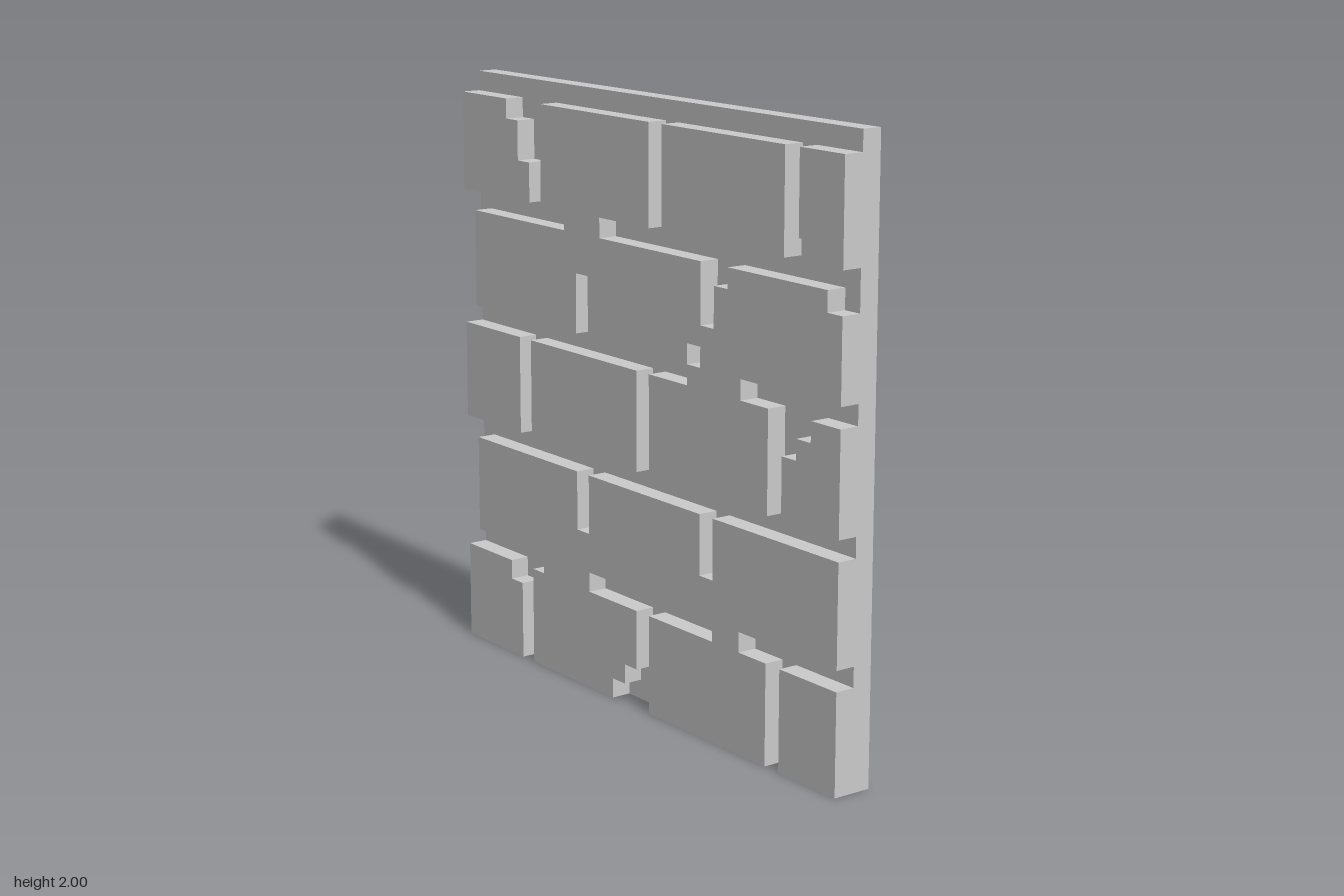
import * as THREE from 'three';

// The wall is laid out on a 30 x 30 grid of square cells
const U = 2 / 30;
const material = new THREE.MeshStandardMaterial({ color: 0xcccccc, flatShading: true });

// Extrudes an outline given in cells, one cell deep in front of the slab
function raised(name, points) {
  const shape = new THREE.Shape(points.map(([c, r]) => new THREE.Vector2(c * U - 1, r * U)));
  const geometry = new THREE.ExtrudeGeometry(shape, { depth: U, bevelEnabled: false });
  const mesh = new THREE.Mesh(geometry, material);
  mesh.name = name;
  return mesh;
}

const rect = (c0, r0, c1, r1) => [[c0, r0], [c1, r0], [c1, r1], [c0, r1]];

export function createModel() {
  const wall = new THREE.Group();
  wall.name = 'brickWall';

  // Backing slab
  const slab = new THREE.Mesh(new THREE.BoxGeometry(2, 2, U), material);
  slab.name = 'backingSlab';
  slab.position.set(0, 1, -U / 2);
  wall.add(slab);

  // Courses from bottom to top: whole bricks as [start, end], chipped ones as outlines
  const courses = [
    { base: 0, whole: [[16, 25], [26, 30]], chipped: [
      [[0, 0], [5, 0], [5, 4], [4, 4], [4, 5], [0, 5]],
      [[6, 0], [13, 0], [13, 1], [14, 1], [14, 2], [15, 2], [15, 5], [6, 5]],
    ] },
    { base: 6, whole: [[1, 10], [11, 20], [21, 30]], chipped: [] },
    { base: 12, whole: [[0, 5], [6, 15], [16, 25]], chipped: [
      [[26, 12], [30, 12], [30, 17], [28, 17], [28, 16], [27, 16], [27, 15], [26, 15]],
    ] },
    { base: 18, whole: [[1, 10]], chipped: [
      [[11, 18], [19, 18], [19, 19], [20, 19], [20, 23], [11, 23]],
      [[21, 18], [30, 18], [30, 22], [29, 22], [29, 23], [22, 23], [22, 22], [21, 22]],
    ] },
    { base: 24, whole: [[7, 16], [17, 26]], chipped: [
      [[0, 24], [6, 24], [6, 26], [5, 26], [5, 28], [4, 28], [4, 29], [0, 29]],
      [[29, 24], [30, 24], [30, 29], [27, 29], [27, 25], [29, 25]],
    ] },
  ];
  courses.forEach(({ base, whole, chipped }, i) => {
    const course = new THREE.Group();
    course.name = `course${i + 1}`;
    for (const [a, b] of whole) course.add(raised('brick', rect(a, base, b, base + 5)));
    for (const outline of chipped) course.add(raised('chippedBrick', outline));
    wall.add(course);
  });

  // Filled stretches of the joints that merge neighbouring bricks
  const fills = [
    [7, 5, 11, 6], [21, 5, 23, 6],
    [10, 6, 11, 8], [20, 6, 21, 8],
    [19, 17, 23, 18], [20, 18, 21, 20],
    [10, 21, 11, 23], [9, 23, 12, 24],
  ];
  for (const f of fills) wall.add(raised('filledJoint', rect(...f)));

  return wall;
}
